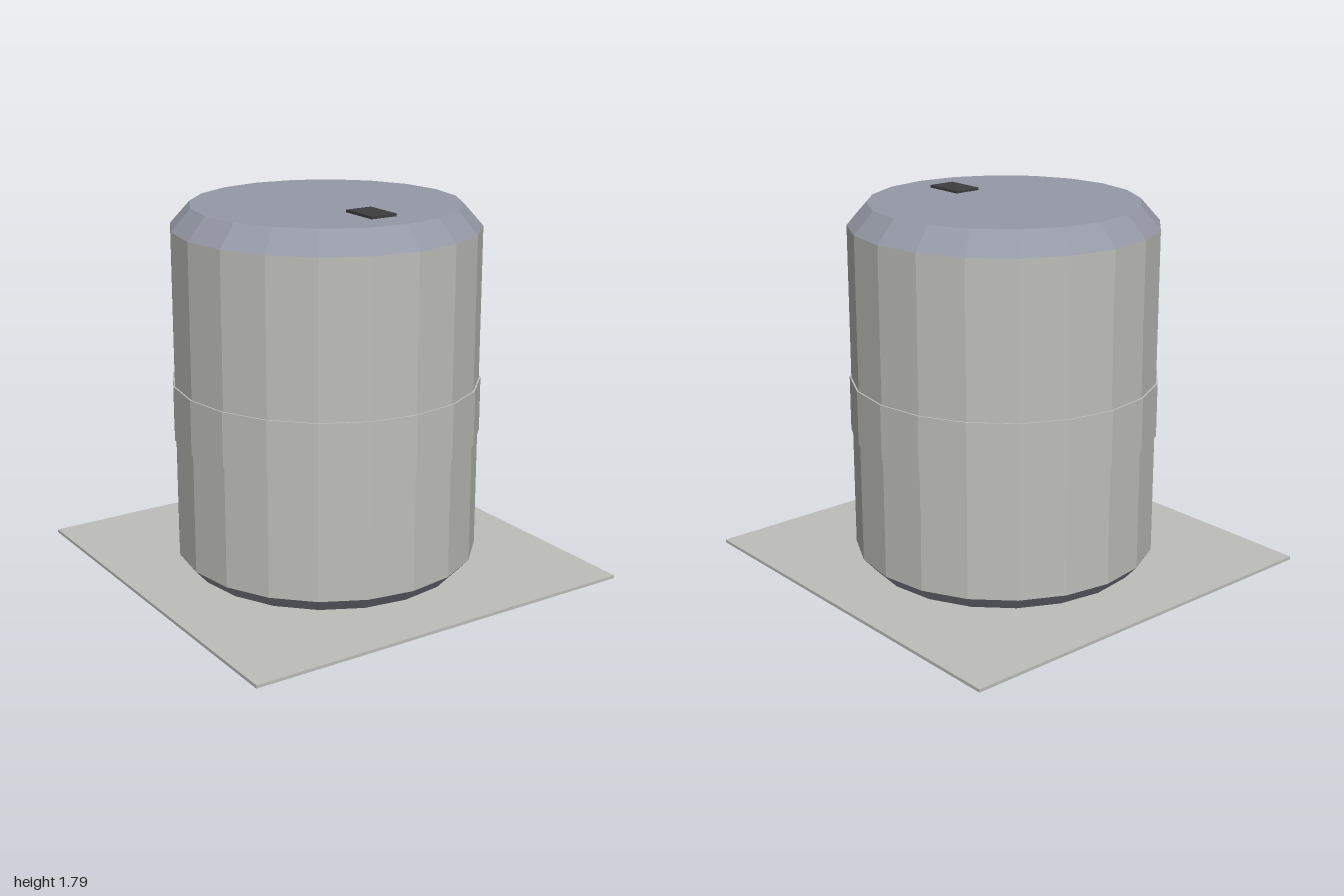
import * as THREE from 'three';

const SIDES = 20;

function material(name, color, options = {}) {
  const m = new THREE.MeshStandardMaterial({ color, ...options });
  m.name = name;
  return m;
}

export function createModel() {
  const group = new THREE.Group();
  group.name = 'canOnPlate';

  const shell = material('light grey', 0xbebeba, { flatShading: true });
  const rim = material('blue grey', 0x969aa7, { flatShading: true });
  const dark = material('dark grey', 0x3e3e3e, { flatShading: true });

  const add = (name, geometry, mat, x, y, z) => {
    const mesh = new THREE.Mesh(geometry, mat);
    mesh.name = name;
    mesh.position.set(x, y, z);
    group.add(mesh);
  };

  // Faceted ring or solid between two heights
  const drum = (name, rTop, rBottom, y0, y1, mat, open = false) =>
    add(name, new THREE.CylinderGeometry(rTop, rBottom, y1 - y0, SIDES, 1, open), mat, 0, (y0 + y1) / 2, 0);

  // Thin square base plate
  add('basePlate', new THREE.BoxGeometry(2, 0.015, 2), shell, 0, 0.0075, 0);

  // Can: bottom bevel, straight wall, top bevel with flat lid
  drum('bottomBevel', 0.733, 0.67, 0.013, 0.083, rim);
  drum('wall', 0.733, 0.733, 0.083, 1.67, shell, true);
  drum('lid', 0.64, 0.733, 1.67, 1.775, rim);

  // Slightly raised band around the wall
  drum('band', 0.741, 0.741, 0.67, 0.935, shell);

  // Small tab near the front of the lid
  add('tab', new THREE.BoxGeometry(0.135, 0.015, 0.2), dark, 0, 1.78, 0.368);

  return group;
}
